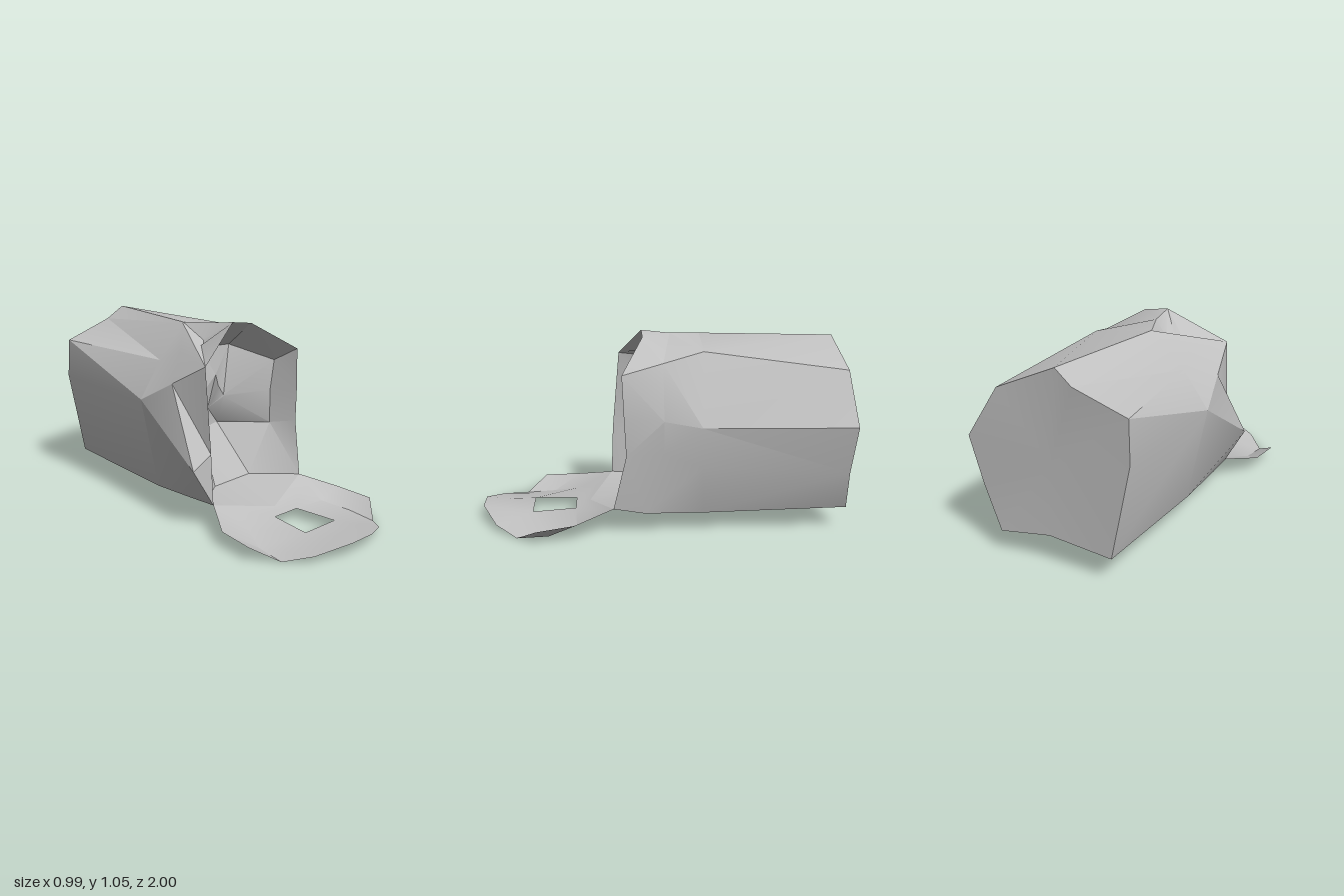
import * as THREE from 'three';
import { toCreasedNormals } from 'three/addons/utils/BufferGeometryUtils.js';

const grey = new THREE.MeshStandardMaterial({ color: 0xc0c0c0, side: THREE.DoubleSide });
grey.name = 'plain grey';

// Joins closed loops of equal length into a faceted skin; an optional tip closes the last loop.
function loft(name, loops, tip) {
  const pos = [];
  const vec = (p) => new THREE.Vector3(...p);
  const tri = (a, b, c) => {
    const [p, q, r] = [a, b, c].map(vec);
    if (q.sub(p).cross(r.sub(p)).length() > 1e-7) pos.push(...a, ...b, ...c);
  };
  // Each quad is split along its shorter diagonal
  const quad = (a, b, c, d) => {
    if (vec(a).distanceTo(vec(c)) < vec(b).distanceTo(vec(d))) {
      tri(a, b, c);
      tri(a, c, d);
    } else {
      tri(a, b, d);
      tri(b, c, d);
    }
  };
  const n = loops[0].length;
  for (let k = 0; k < loops.length - 1; k++) {
    for (let i = 0; i < n; i++) {
      const j = (i + 1) % n;
      quad(loops[k][i], loops[k][j], loops[k + 1][j], loops[k + 1][i]);
    }
  }
  if (tip) {
    const last = loops[loops.length - 1];
    for (let i = 0; i < n; i++) tri(last[i], last[(i + 1) % n], tip);
  }
  const g = new THREE.BufferGeometry();
  g.setAttribute('position', new THREE.Float32BufferAttribute(pos, 3));
  const mesh = new THREE.Mesh(toCreasedNormals(g, 0.45), grey);
  mesh.name = name;
  return mesh;
}

export function createModel() {
  const model = new THREE.Group();
  model.name = 'openBarrel';

  // Loops run from the left side over the top, then down the right side and under
  const back = [
    [0.49, 0.62, -1], [0.32, 0.89, -0.98], [0, 1.03, -0.96], [0, 1.03, -0.96],
    [-0.1, 0.96, -0.98], [-0.39, 0.86, -0.98], [-0.4, 0.64, -0.99], [-0.4, 0.64, -0.99],
    [-0.3, 0.14, -1], [0.05, 0.17, -0.99], [0.33, 0.13, -1], [0.435, 0.36, -0.98],
  ];
  const middle = [
    [0.41, 0.61, -0.2], [0.22, 0.98, -0.22], [-0.12, 1.03, -0.23], [-0.12, 1.03, -0.23],
    [-0.13, 1.025, -0.22], [-0.3, 0.84, -0.22], [-0.44, 0.64, -0.22], [-0.44, 0.64, -0.22],
    [-0.33, 0.11, -0.22], [0, 0.06, -0.2], [0.31, 0.11, -0.22], [0.385, 0.39, -0.2],
  ];
  const cornerTop = [-0.36, 0.88, 0.22];
  const shoulder = [
    [0.375, 0.64, 0], [0.28, 0.93, 0], [-0.06, 1.04, -0.06], [-0.12, 0.95, -0.06],
    cornerTop, [-0.27, 0.9, -0.08], [-0.4, 0.76, 0], [-0.475, 0.35, 0.25],
    [-0.35, 0.13, 0.1], [0, 0.06, 0.13], [0.33, 0.12, 0.1], [0.355, 0.46, 0],
  ];
  const rim = [
    [0.355, 0.65, 0.21], [0.34, 0.88, 0.22], [0.09, 1.04, 0.1], [-0.05, 1.06, 0.1],
    cornerTop, cornerTop, cornerTop, [-0.36, 0.42, 0.26],
    [-0.355, 0.14, 0.27], [-0.02, 0.08, 0.4], [0.325, 0.147, 0.27], [0.36, 0.45, 0.2],
  ];
  model.add(loft('barrelShell', [rim, shoulder, middle, back], [0.04, 0.55, -0.97]));

  // Shallow, crumpled lining inside the mouth, ending in a small niche
  const lining = [
    [0.29, 0.62, 0.06], [0.3, 0.8, 0.08], [0.1, 0.895, -0.09], [-0.12, 0.905, -0.09],
    [-0.25, 0.89, -0.04], [-0.3, 0.86, -0.04], [-0.35, 0.65, -0.04], [-0.35, 0.43, -0.07],
    [-0.345, 0.14, 0.2], [-0.13, 0.125, 0.04], [0.13, 0.14, 0.05], [0.3, 0.42, 0.05],
  ];
  const niche = [
    [0.04, 0.6, -0.07], [0.04, 0.61, -0.07], [0, 0.67, -0.07], [-0.03, 0.74, -0.06],
    [-0.13, 0.64, -0.07], [-0.13, 0.63, -0.07], [-0.13, 0.62, -0.07], [-0.13, 0.44, -0.1],
    [-0.12, 0.43, -0.1], [-0.1, 0.42, -0.11], [0.06, 0.43, -0.15], [0.06, 0.44, -0.14],
  ];
  model.add(loft('mouthLining', [rim, lining, niche], [-0.02, 0.53, -0.14]));

  // Flap lying in front of the mouth: raised edge, sunken sides and a square hole
  const flapEdge = [
    rim[8], [-0.48, 0.09, 0.47], [-0.5, 0.08, 0.68], [-0.385, 0.005, 0.79],
    [-0.28, 0.04, 0.91], [-0.1, 0.085, 1], [0.05, 0.085, 1], [0.24, 0.04, 0.91],
    [0.35, 0.005, 0.79], [0.46, 0.08, 0.68], [0.43, 0.1, 0.47], rim[10], rim[9],
  ];
  const flapMiddle = [
    [-0.23, 0.1, 0.37], [-0.3, 0.06, 0.47], [-0.37, 0.02, 0.62], [-0.32, 0.02, 0.75],
    [-0.2, 0.045, 0.82], [-0.1, 0.07, 0.86], [0.07, 0.07, 0.86], [0.18, 0.045, 0.82],
    [0.29, 0.02, 0.75], [0.36, 0.015, 0.62], [0.29, 0.05, 0.47], [0.21, 0.1, 0.37], [-0.01, 0.07, 0.44],
  ];
  const [a, b, c, d] = [[-0.1, 0.065, 0.48], [-0.13, 0.06, 0.72], [0.1, 0.06, 0.72], [0.07, 0.065, 0.48]];
  const flapHole = [a, a, b, b, b, b, c, c, c, c, d, d, a];
  model.add(loft('frontFlap', [flapEdge, flapMiddle, flapHole]));

  return model;
}
